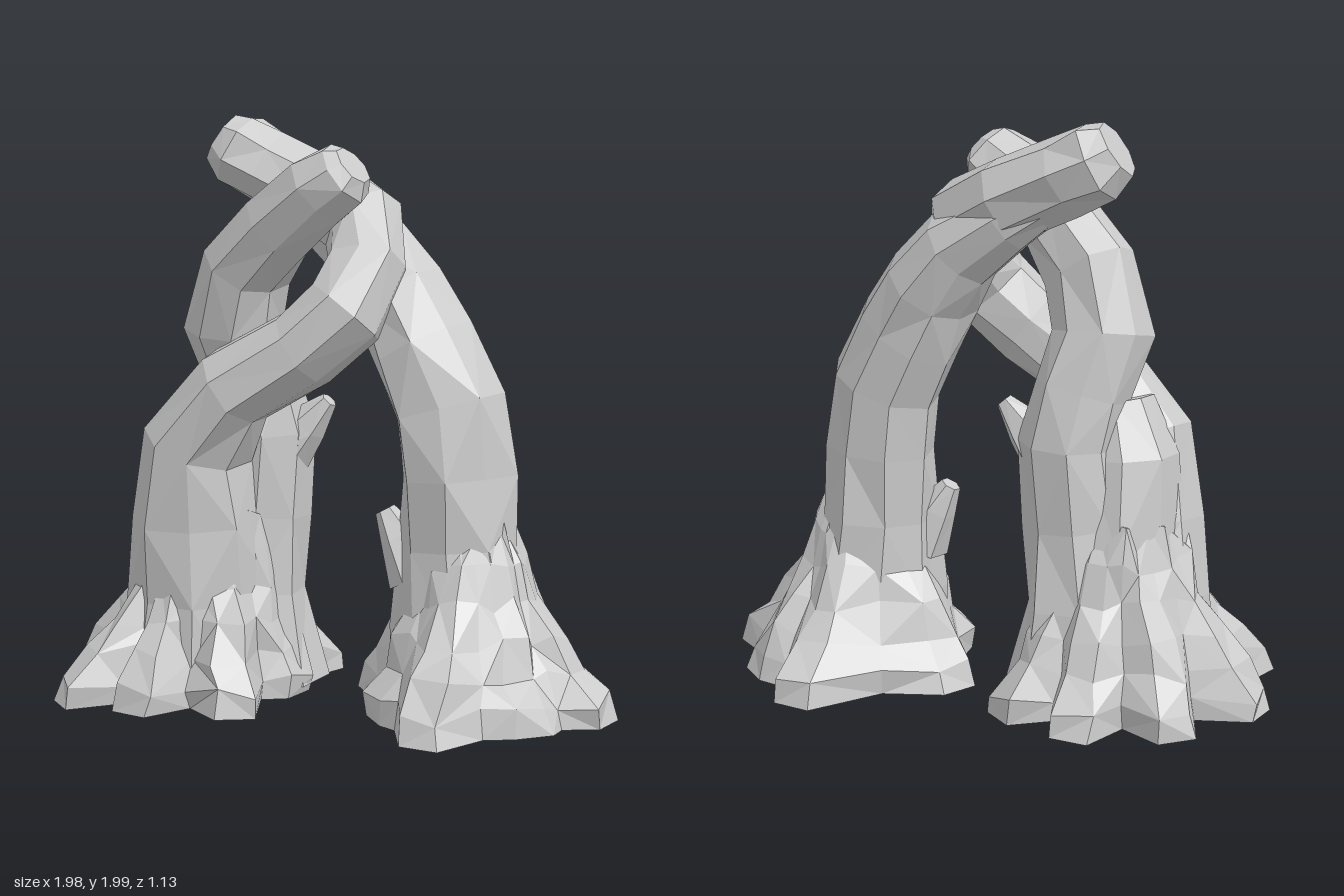
import * as THREE from 'three';

const material = new THREE.MeshStandardMaterial({ color: 0xcccccc, flatShading: true });

// Small seeded noise in -1..1
let seed = 7;
const noise = () => {
  seed = (seed * 16807) % 2147483647;
  return (seed / 2147483647) * 2 - 1;
};

// Faceted skin over closed rings of points, capped at both ends
function skin(name, rings) {
  const n = rings[0].length, positions = [], index = [];
  rings.forEach(ring => ring.forEach(p => positions.push(p.x, Math.max(p.y, 0), p.z)));
  for (let i = 0; i < rings.length - 1; i++) {
    for (let j = 0; j < n; j++) {
      const a = i * n + j, b = i * n + (j + 1) % n;
      if ((i + j) % 2) index.push(a, b, b + n, a, b + n, a + n);
      else index.push(a, b, a + n, b, b + n, a + n);
    }
  }
  [rings[0], rings[rings.length - 1]].forEach((ring, end) => {
    const mid = ring.reduce((s, p) => s.add(p), new THREE.Vector3()).divideScalar(n);
    const c = positions.length / 3, start = end ? (rings.length - 1) * n : 0;
    positions.push(mid.x, Math.max(mid.y, 0), mid.z);
    for (let j = 0; j < n; j++) {
      const a = start + j, b = start + (j + 1) % n;
      if (end) index.push(c, a, b);
      else index.push(c, b, a);
    }
  });
  const indexed = new THREE.BufferGeometry();
  indexed.setAttribute('position', new THREE.Float32BufferAttribute(positions, 3));
  indexed.setIndex(index);
  const geometry = indexed.toNonIndexed();
  geometry.computeVertexNormals();
  const mesh = new THREE.Mesh(geometry, material);
  mesh.name = name;
  return mesh;
}

// Gnarled limb through [x, y, z, radius] stations, with a frame carried along the path
function limb(name, stations, sides = 8, rough = 0.1) {
  const points = stations.map(s => new THREE.Vector3(s[0], s[1], s[2]));
  const turn = new THREE.Quaternion();
  let normal = null, last = null;
  const rings = points.map((p, i) => {
    const t = points[Math.min(i + 1, points.length - 1)].clone().sub(points[Math.max(i - 1, 0)]).normalize();
    if (!normal) {
      normal = new THREE.Vector3(0.3, 0.2, 1).cross(t).normalize();
    } else {
      normal.applyQuaternion(turn.setFromUnitVectors(last, t));
    }
    last = t;
    const side = t.clone().cross(normal);
    return Array.from({ length: sides }, (_, j) => {
      const a = (j / sides) * Math.PI * 2, r = stations[i][3] * (1 + rough * noise());
      return p.clone().addScaledVector(normal, r * Math.cos(a)).addScaledVector(side, r * Math.sin(a));
    });
  });
  return skin(name, rings);
}

// Flared foot: blunt toes at the root tips with valleys between, narrowing up into the trunk
function foot(name, cx, cz, neck, valley, tips) {
  const polar = tips
    .map(([x, z]) => ({ a: Math.atan2(cz - z, x - cx), r: Math.hypot(x - cx, z - cz) }))
    .sort((p, q) => p.a - q.a);
  const outline = polar.flatMap((tip, i) => {
    const next = polar[(i + 1) % polar.length];
    const gap = (next.a - tip.a + Math.PI * 2) % (Math.PI * 2);
    const toe = 0.07 / tip.r;
    return [
      { a: tip.a - toe, r: tip.r * 0.98 },
      { a: tip.a + toe, r: tip.r },
      { a: tip.a + gap / 2, r: (tip.r + next.r) / 2 * Math.cos(gap / 2) * valley },
    ];
  });
  // Height, and how far the outline still reaches beyond the neck
  const levels = [[0, 1], [0.08, 0.94], [0.18, 0.66], [0.28, 0.42], [0.4, 0.16], [0.52, 0.0], [0.64, -0.2]];
  return skin(name, levels.map(([y, f], i) => outline.map(o => {
    const r = (neck + (o.r - neck) * f) * (1 + (i ? 0.06 : 0.02) * noise());
    const a = o.a + (i ? 0.04 * noise() : 0);
    return new THREE.Vector3(cx + r * Math.cos(a), y + (i ? 0.025 * noise() : 0), cz - r * Math.sin(a));
  })));
}

export function createModel() {
  const model = new THREE.Group();
  model.name = 'twistedTrees';

  // Left tree, leaning in and running out along the upper branch
  model.add(foot('leftFoot', 0.48, 0, 0.19, 0.9,
    [[0.99, 0.05], [0.8, 0.29], [0.48, 0.56], [0.22, 0.28], [0.05, -0.2], [0.53, -0.56], [0.8, -0.33]]));
  model.add(limb('leftTrunk', [
    [0.47, 0.02, 0, 0.25], [0.46, 0.3, 0, 0.24], [0.43, 0.56, -0.01, 0.22], [0.43, 0.8, -0.01, 0.205],
    [0.4, 1.03, -0.02, 0.205], [0.3, 1.23, -0.04, 0.19], [0.2, 1.39, -0.07, 0.165], [0.08, 1.54, -0.11, 0.14],
    [-0.1, 1.66, -0.14, 0.11], [-0.25, 1.74, -0.145, 0.08]], 9));
  model.add(limb('leftKnot', [[0.3, 0.45, 0.02, 0.11], [0.23, 0.58, 0.02, 0.07], [0.18, 0.67, 0.02, 0.035]], 6));

  // Shared foot of the right-hand pair, with the wood that joins the two trunks
  model.add(foot('rightFoot', -0.46, 0, 0.23, 0.75,
    [[-0.99, -0.03], [-0.79, -0.36], [-0.45, -0.5], [-0.15, -0.4], [-0.11, 0.05], [-0.2, 0.44], [-0.57, 0.5], [-0.85, 0.48]]));
  model.add(limb('trunkJoin', [
    [-0.45, 0.25, -0.02, 0.24], [-0.46, 0.55, -0.01, 0.21], [-0.46, 0.85, 0.01, 0.185], [-0.42, 1.03, 0.03, 0.12]]));

  // Front trunk: crosses the middle, wraps round the left tree and returns behind
  model.add(limb('frontTrunk', [
    [-0.49, 0.02, 0.06, 0.27], [-0.48, 0.35, 0.08, 0.245], [-0.48, 0.62, 0.11, 0.215], [-0.47, 0.88, 0.15, 0.19],
    [-0.3, 1.08, 0.185, 0.155], [-0.06, 1.23, 0.19, 0.14], [0.09, 1.36, 0.17, 0.145], [0.14, 1.5, 0.07, 0.14],
    [0.07, 1.63, -0.06, 0.14], [-0.1, 1.72, -0.13, 0.135], [-0.3, 1.81, -0.145, 0.135], [-0.42, 1.865, -0.145, 0.145],
    [-0.48, 1.905, -0.14, 0.1]]));

  // Back trunk: rises behind, bends out and hooks forward over the crossing
  model.add(limb('backTrunk', [
    [-0.34, 0.02, -0.08, 0.24], [-0.35, 0.35, -0.08, 0.2], [-0.32, 0.62, -0.08, 0.17], [-0.3, 0.9, -0.09, 0.175],
    [-0.34, 1.08, -0.07, 0.16], [-0.39, 1.27, -0.02, 0.165], [-0.33, 1.48, 0.02, 0.155], [-0.17, 1.63, 0.09, 0.14],
    [0.0, 1.76, 0.15, 0.13], [0.09, 1.82, 0.165, 0.115], [0.12, 1.845, 0.17, 0.07]]));
  model.add(limb('backKnot', [[-0.25, 0.8, -0.08, 0.11], [-0.14, 0.93, -0.08, 0.07], [-0.06, 1.02, -0.08, 0.03]], 6));

  return model;
}
